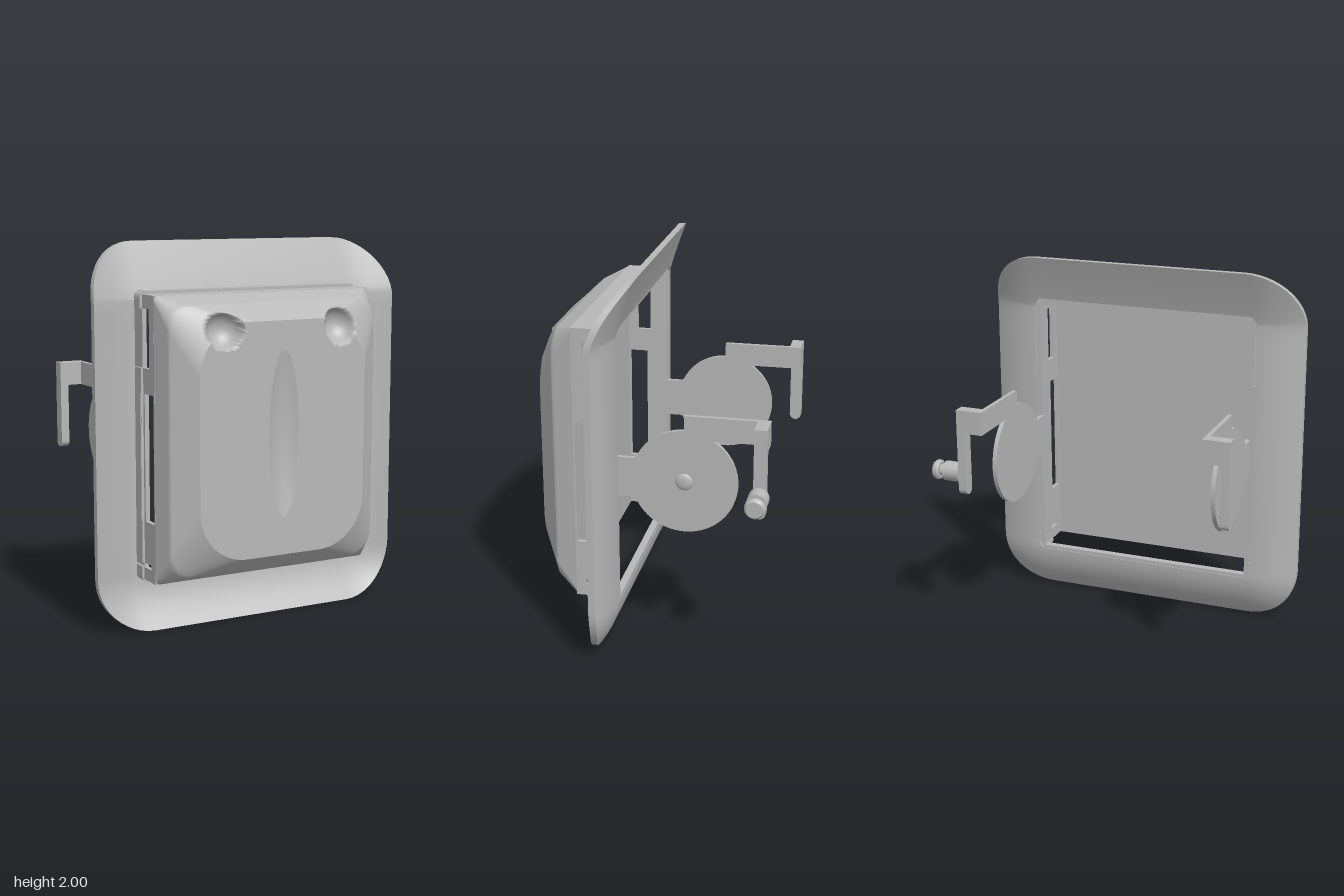
import * as THREE from 'three';

const CY = 1.005; // height of the cover's centre

// Rounded rectangle as a loop of points, counter-clockwise seen from +z
function roundedLoop(w, h, r, cy, corner, side) {
  const pts = [];
  const arcs = [[1, 1, 0], [-1, 1, 1], [-1, -1, 2], [1, -1, 3]];
  const at = (k, i) => {
    const [sx, sy, q] = arcs[k % 4];
    const a = (q + i / corner) * Math.PI / 2;
    return [sx * (w - r) + r * Math.cos(a), cy + sy * (h - r) + r * Math.sin(a)];
  };
  for (let k = 0; k < 4; k++) {
    for (let i = 0; i < corner; i++) pts.push(at(k, i));
    const a = at(k, corner), b = at(k + 1, 0);
    for (let i = 0; i < side; i++) {
      const t = i / side;
      pts.push([a[0] + (b[0] - a[0]) * t, a[1] + (b[1] - a[1]) * t]);
    }
  }
  return pts;
}

const lerpLoop = (a, b, t) => a.map((p, i) => p.map((v, k) => v + (b[i][k] - v) * t));

// Skin a list of closed loops of [x, y, z]
function loft(rings) {
  const n = rings[0].length, idx = [];
  for (let i = 0; i < rings.length - 1; i++) {
    for (let j = 0; j < n; j++) {
      const a = i * n + j, b = i * n + (j + 1) % n, c = b + n, d = a + n;
      idx.push(a, d, c, a, c, b);
    }
  }
  const g = new THREE.BufferGeometry();
  g.setAttribute('position', new THREE.Float32BufferAttribute(rings.flat(2), 3));
  g.setIndex(idx);
  g.computeVertexNormals();
  return g;
}

const steps = (n, f) => Array.from({ length: n + 1 }, (_, i) => f(i / n));

// Plate drawn in (z, y), filling x from x0 to x0 + t
function sidePlate(shape, x0, t) {
  const g = new THREE.ExtrudeGeometry(shape, { depth: t, bevelEnabled: false, curveSegments: 32 });
  return g.rotateY(-Math.PI / 2).translate(x0 + t, 0, 0);
}

function rectPath(C, z0, z1, y0, y1) {
  const p = new C();
  p.moveTo(z0, y0); p.lineTo(z1, y0); p.lineTo(z1, y1); p.lineTo(z0, y1); p.closePath();
  return p;
}

export function createModel() {
  const grey = new THREE.MeshStandardMaterial({ color: 0xb8b8b8 });
  grey.name = 'grey';
  const root = new THREE.Group();
  root.name = 'latchedHatch';
  const add = (parent, name, geo) => {
    const m = new THREE.Mesh(geo, grey);
    m.name = name;
    parent.add(m);
    return m;
  };
  const box = (parent, name, x0, x1, y0, y1, z0, z1) =>
    add(parent, name, new THREE.BoxGeometry(x1 - x0, y1 - y0, z1 - z0)
      .translate((x0 + x1) / 2, (y0 + y1) / 2, (z0 + z1) / 2));

  // Flange: sides and foot curl forward, top leans back
  const flange = new THREE.Group();
  flange.name = 'flange';
  root.add(flange);
  const hole = roundedLoop(0.643, 0.752, 0.05, 1.003, 12, 24);
  const rim = roundedLoop(0.894, 1, 0.3, 1, 12, 24);
  const bend = (x, y) => {
    const s = Math.max(0, (Math.abs(x) - 0.63) / 0.264);
    const foot = Math.max(0, (0.27 - y) / 0.27), head = Math.max(0, (y - 1.7) / 0.3);
    return 0.178 + 0.065 * s * s + 0.107 * foot * foot - 0.1 * Math.pow(head, 1.15);
  };
  const flangeRing = (t, lift) => lerpLoop(hole, rim, t).map(([x, y]) => [x, y, bend(x, y) + lift]);
  const T = 0.036;
  add(flange, 'flangeFront', loft(steps(12, t => flangeRing(t, T))));
  add(flange, 'flangeRim', loft([flangeRing(1, T), flangeRing(1, 0)]));
  add(flange, 'flangeBack', loft(steps(12, t => flangeRing(1 - t, 0))));
  add(flange, 'flangeHole', loft([flangeRing(0, 0), flangeRing(0, T)]));

  // Cover: flat face, shoulders sloping back to a square edge
  const cover = new THREE.Group();
  cover.name = 'cover';
  root.add(cover);
  const ring3 = (w, h, r, z) => roundedLoop(w, h, r, CY, 40, 60).map(p => [...p, z]);
  const face = ring3(0.485, 0.605, 0.27, 0.62);
  const shoulder = ring3(0.604, 0.69, 0.13, 0.52);
  const edge = ring3(0.632, 0.735, 0.025, 0.408);
  const centre = face.map(() => [0, CY, 0.62]);
  const backCentre = face.map(() => [0, CY, 0.408]);
  // Finger scoops at the top corners and a long shallow dent in the middle
  const dent = ([x, y, z]) => {
    const d = 0.0098 - (Math.abs(x) - 0.34) ** 2 - (y - 1.575) ** 2;
    if (d > 0) z = Math.min(z, 0.62 - Math.sqrt(d));
    const e = 1 - (x / 0.088) ** 2 - ((y - 1.03) / 0.43) ** 2;
    if (e > 0) z -= 0.035 * Math.sqrt(e) * Math.sqrt(e);
    return [x, y, z];
  };
  add(cover, 'coverFace', loft(steps(60, t => lerpLoop(centre, face, t).map(dent))));
  const slopes = [...steps(16, t => lerpLoop(face, shoulder, t)),
    ...steps(8, t => lerpLoop(shoulder, edge, t)).slice(1)];
  add(cover, 'coverShoulder', loft(slopes.map(r => r.map(dent))));
  add(cover, 'coverBack', loft([edge, backCentre]));
  box(cover, 'coverTopWall', -0.625, 0.625, 1.715, 1.74, 0.19, 0.41);

  // Collar between the cover and the flange
  box(cover, 'collarTop', -0.62, 0.62, 1.735, 1.755, 0.19, 0.28);
  box(cover, 'collarBottom', -0.62, 0.62, 0.252, 0.272, 0.18, 0.22);

  for (const s of [1, -1]) {
    const label = s > 0 ? 'left' : 'right';
    const at = (x0, t) => (s > 0 ? x0 : -x0 - t);

    // Slotted side wall
    const wall = rectPath(THREE.Shape, 0.18, 0.41, 0.27, 1.74);
    wall.holes.push(
      rectPath(THREE.Path, 0.28, 0.355, 1.37, 1.67),
      rectPath(THREE.Path, 0.3, 0.4, 0.58, 1.24),
      rectPath(THREE.Path, 0.28, 0.36, 0.335, 0.36));
    add(cover, label + 'Wall', sidePlate(wall, at(0.608, 0.024), 0.024));
    const strip = rectPath(THREE.Shape, 0.18, 0.285, 0.36, 1.37);
    strip.holes.push(rectPath(THREE.Path, 0.278, 0.284, 0.58, 1.24));
    add(cover, label + 'WallStrip', sidePlate(strip, at(0.63, 0.015), 0.015));
    // Rounded collar corners
    for (const [y, v, z1] of [[1.67, 1, 0.28], [0.34, -1, 0.28]]) {
      const c = new THREE.Shape();
      c.moveTo(0.6, y + v * 0.065);
      c.lineTo(0.63, y + v * 0.065);
      c.lineTo(0.63, y);
      c.lineTo(0.645, y);
      c.lineTo(0.645, y + v * 0.045);
      c.quadraticCurveTo(0.645, y + v * 0.085, 0.605, y + v * 0.085);
      c.lineTo(0.6, y + v * 0.085);
      if (s < 0) {
        const pts = c.getPoints(8).map(p => new THREE.Vector2(-p.x, p.y));
        c.curves = [];
        c.setFromPoints(pts);
      }
      add(cover, label + 'CollarCorner', new THREE.ExtrudeGeometry(c,
        { depth: z1 - 0.19, bevelEnabled: false }).translate(0, 0, 0.19));
    }

    // Hinge arm: neck, disc and bar in one plate
    const arm = new THREE.Group();
    arm.name = label + 'Arm';
    root.add(arm);
    const R = 0.275, zc = -0.165, yc = 0.96;
    const p = new THREE.Shape();
    p.moveTo(0.2, 0.857);
    p.lineTo(0.1, 0.857);
    p.quadraticCurveTo(0.085, 0.857, zc + R * Math.cos(-0.47), yc + R * Math.sin(-0.47));
    p.absarc(zc, yc, R, -0.47, -Math.PI * 2 + 0.985, true);
    p.lineTo(zc, 1.24);
    p.lineTo(zc, 1.315);
    p.lineTo(-0.6, 1.315);
    p.lineTo(-0.6, 1.19);
    p.lineTo(-0.3, 1.19);
    // Plain disc and neck, with the bar as its own outline
    const disc = new THREE.Shape();
    disc.moveTo(0.2, 0.857);
    disc.lineTo(0.2, 1.07);
    disc.lineTo(0.105, 1.07);
    disc.quadraticCurveTo(0.085, 1.07, zc + R * Math.cos(0.47), yc + R * Math.sin(0.47));
    disc.absarc(zc, yc, R, 0.47, Math.PI * 2 - 0.47, false);
    disc.quadraticCurveTo(0.085, 0.857, 0.105, 0.857);
    const x0 = at(0.6, 0.023);
    add(arm, 'disc', sidePlate(disc, x0, 0.023));
    box(arm, 'bar', x0, x0 + 0.023, 1.19, 1.315, -0.6, zc);
    const rivet = add(arm, 'rivet', new THREE.SphereGeometry(0.045, 24, 16).scale(0.33, 1, 1));
    rivet.position.set(s * 0.623, yc, zc);

    // Outward stub with a round-ended leg hanging from it
    const stub = at(0.6, 0.145);
    box(arm, 'stub', stub, stub + 0.145, 1.19, 1.315, -0.6, -0.535);
    const leg = new THREE.Shape();
    leg.moveTo(-0.535, 1.2);
    leg.lineTo(-0.6, 1.2);
    leg.lineTo(-0.6, 0.877);
    leg.absarc(-0.5675, 0.877, 0.0325, Math.PI, Math.PI * 2, false);
    add(arm, 'leg', sidePlate(leg, at(0.7, 0.045), 0.045));
  }

  // Grooved pin on the left leg
  const profile = [[0, 0], [0.053, 0], [0.053, 0.09], [0.03, 0.09], [0.03, 0.118],
    [0.045, 0.118], [0.053, 0.126], [0.053, 0.142], [0.042, 0.156], [0, 0.156]];
  // Each profile segment is its own band, so the edges stay sharp
  const pin = new THREE.Group();
  pin.name = 'pin';
  for (let i = 0; i < profile.length - 1; i++) {
    const seg = [profile[i], profile[i + 1]].map(q => new THREE.Vector2(...q));
    add(pin, 'pinBand', new THREE.LatheGeometry(seg, 32));
  }
  pin.rotation.z = -Math.PI / 2;
  pin.position.set(0.743, 0.96, -0.565);
  root.add(pin);

  root.position.x = -0.004;
  const model = new THREE.Group();
  model.name = 'hatch';
  model.add(root);
  return model;
}
